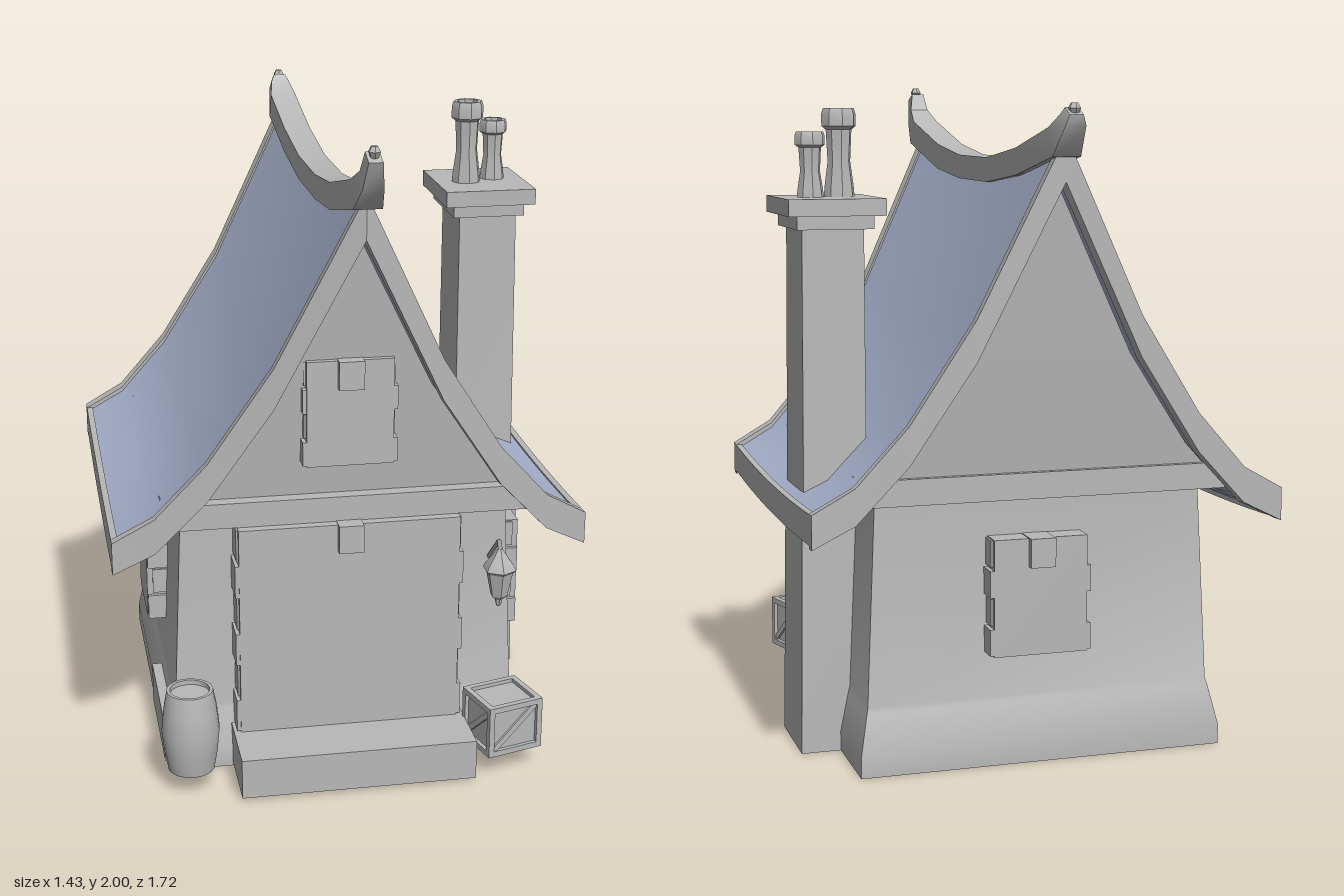
import * as THREE from 'three';
import { toCreasedNormals } from 'three/addons/utils/BufferGeometryUtils.js';

const stone = new THREE.MeshStandardMaterial({ color: 0xb8b8b8, side: THREE.DoubleSide });
stone.name = 'grey stone';
const slate = new THREE.MeshStandardMaterial({ color: 0xa9b3cf, side: THREE.DoubleSide });
slate.name = 'blue slate';

export function createModel() {
  const model = new THREE.Group();
  model.name = 'cottage';

  const add = (name, geo, mat = stone, parent = model) => {
    const mesh = new THREE.Mesh(geo, mat);
    mesh.name = name;
    parent.add(mesh);
    return mesh;
  };
  // Box given by its min and max corners
  const box = (name, [x0, y0, z0], [x1, y1, z1], parent = model) => {
    const g = new THREE.BoxGeometry(x1 - x0, y1 - y0, z1 - z0);
    g.translate((x0 + x1) / 2, (y0 + y1) / 2, (z0 + z1) / 2);
    return add(name, g, stone, parent);
  };
  // Grid surface from rows of points
  const surface = (rows, closed = false, caps = false) => {
    const n = rows[0].length, index = [];
    for (let r = 0; r < rows.length - 1; r++)
      for (let c = 0; c < (closed ? n : n - 1); c++) {
        const a = r * n + c, b = r * n + (c + 1) % n;
        index.push(a, b, b + n, a, b + n, a + n);
      }
    if (caps) {
      const e = (rows.length - 1) * n;
      for (let c = 1; c < n - 1; c++) index.push(0, c + 1, c, e, e + c, e + c + 1);
    }
    const g = new THREE.BufferGeometry();
    g.setAttribute('position', new THREE.Float32BufferAttribute(rows.flat(2), 3));
    g.setIndex(index);
    return toCreasedNormals(g, 0.5);
  };
  const loft = (rings, caps = true) => surface(rings, true, caps);
  const lathe = (pts, sides) => toCreasedNormals(
    new THREE.LatheGeometry(pts.map(p => new THREE.Vector2(...p)), sides), 0.5);

  // Walls with a flared plinth, open underneath
  const ring = (x, y, zf, zb) => [[-x, y, zf], [x, y, zf], [x, y, zb], [-x, y, zb]];
  add('walls', loft([ring(0.56, 0, 0.5, -0.61), ring(0.56, 0.06, 0.5, -0.61),
    ring(0.535, 0.18, 0.46, -0.58), ring(0.53, 0.2, 0.455, -0.572),
    ring(0.5, 0.84, 0.44, -0.555)], false));

  // Roof shape: curved slope, splayed gable ends and a sagging ridge
  const slope = [[0, 1.85], [0.247, 1.34], [0.437, 1.045], [0.59, 0.875], [0.715, 0.805]];
  const roofPoint = (i, v, drop, dx = 0) => {
    const [x, y] = slope[i], h = y - 0.8;
    const z = THREE.MathUtils.lerp(-0.695 - 0.075 * h, 0.58 + 0.16 * h, v);
    const sag = (0.08 - 0.015 * i) * (1 - (2 * v - 1) ** 2);
    return [x + dx, y - sag - drop, z];
  };
  const steps = Array.from({ length: 13 }, (_, k) => k / 12);
  const idx = slope.map((_, i) => i);
  for (const side of [1, -1]) {
    const half = new THREE.Group();
    half.name = side > 0 ? 'leftRoof' : 'rightRoof';
    half.scale.x = side;
    model.add(half);
    for (const [name, drop] of [['roofSlates', 0.015], ['roofUnderside', 0.085]])
      add(name, surface(steps.map(v => idx.map(i => roofPoint(i, v, drop)))), slate, half);
    for (const [name, v0, v1] of [['backBargeboard', 0, 0.03], ['frontBargeboard', 0.97, 1]])
      add(name, loft(idx.map(i => {
        const d = 0.1 + 0.0075 * (4 - i);
        return [roofPoint(i, v0, 0), roofPoint(i, v0, d), roofPoint(i, v1, d), roofPoint(i, v1, 0)];
      })), stone, half);
    add('eavesBoard', loft(steps.map(v => [roofPoint(4, v, 0, -0.02), roofPoint(4, v, 0),
      roofPoint(4, v, 0.09), roofPoint(4, v, 0.09, -0.02)])), stone, half);
  }

  // Ridge beam with upturned ends: z, top y, z, bottom y, half width
  const ridge = [
    [0.815, 1.98, 0.868, 1.96, 0.02], [0.795, 1.925, 0.835, 1.88, 0.03],
    [0.715, 1.885, 0.76, 1.81, 0.042], [0.4, 1.81, 0.41, 1.73, 0.042],
    [0.15, 1.78, 0.15, 1.705, 0.042], [-0.15, 1.777, -0.15, 1.702, 0.042],
    [-0.44, 1.81, -0.44, 1.73, 0.042], [-0.735, 1.87, -0.775, 1.79, 0.042],
    [-0.8, 1.905, -0.85, 1.875, 0.03], [-0.815, 1.925, -0.857, 1.905, 0.02]];
  add('ridgeBeam', loft(ridge.map(([zt, yt, zb, yb, w]) =>
    [[-w, yt, zt], [w, yt, zt], [w, yb, zb], [-w, yb, zb]])));
  for (const [y, z] of [[1.98, 0.843], [1.918, -0.837]]) {
    const knob = add('ridgeFinial', lathe([[0, -0.02], [0.012, -0.01], [0.018, 0.005], [0.01, 0.02], [0, 0.02]], 6));
    knob.position.set(0, y, z);
  }

  // Gable walls lean outward above a tie beam
  for (const dir of [1, -1]) {
    const s = new THREE.Shape();
    const pts = [[0.56, 0.8], [0.54, 0.83], [0.437, 0.94], [0.247, 1.22], [0, 1.72]];
    pts.forEach(([x, y], k) => k ? s.lineTo(x, y) : s.moveTo(x, y));
    pts.slice(0, -1).reverse().forEach(([x, y]) => s.lineTo(-x, y));
    const g = new THREE.ExtrudeGeometry(s, { depth: 0.04, bevelEnabled: false });
    const p = g.attributes.position;
    for (let i = 0; i < p.count; i++)
      p.setZ(i, p.getZ(i) + (dir > 0 ? 0.42 : -0.6) + dir * 0.1 * (p.getY(i) - 0.8));
    g.computeVertexNormals();
    add(dir > 0 ? 'frontGable' : 'backGable', g);
    box('tieBeam', [-0.56, 0.8, dir > 0 ? 0.41 : -0.625], [0.56, 0.878, dir > 0 ? 0.51 : -0.53]);
  }

  // Opening with staggered side stones and a keystone, facing +z locally
  const opening = (name, w, h, d, rows, pos, turn = 0) => {
    const g = new THREE.Group();
    g.name = name;
    g.position.set(...pos);
    g.rotation.y = turn;
    model.add(g);
    box(name + 'Panel', [-w / 2 + 0.012, 0, -0.05], [w / 2 - 0.012, h, d], g);
    for (const s of [-1, 1])
      for (let r = 0; r < rows; r++) {
        const stoneBox = box('sideStone', [-0.02, 0.004, -0.05],
          [0.02, h / rows - 0.004, d - (r % 2 ? 0.018 : 0.002)], g);
        stoneBox.position.set(s * (w / 2 - 0.02 - (r % 2 ? 0.006 : 0)), r * h / rows, 0);
      }
    box('keystone', [-0.038, h - 0.085, 0], [0.038, h + 0.002, d + 0.022], g);
  };
  opening('door', 0.7, 0.665, 0.09, 6, [0, 0.135, 0.45]);
  opening('gableWindow', 0.285, 0.325, 0.045, 4, [0, 0.985, 0.485]);
  opening('leftWindow', 0.31, 0.35, 0.07, 4, [0.51, 0.335, 0.175], Math.PI / 2);
  opening('rightWindow', 0.31, 0.35, 0.07, 4, [-0.51, 0.335, -0.04], -Math.PI / 2);
  opening('backWindow', 0.31, 0.35, 0.07, 4, [0.02, 0.335, -0.562], Math.PI);

  // Steps
  box('frontStep', [-0.36, 0.01, 0.44], [0.36, 0.135, 0.72]);
  box('sideStep', [-0.57, 0.03, 0.08], [-0.5, 0.16, 0.49]);

  // Chimney stack, stepped cap and two pots
  const stack = (y, x0, x1, z0, z1) => [[x0, y, z1], [x1, y, z1], [x1, y, z0], [x0, y, z0]];
  add('chimneyStack', loft([stack(0, 0.45, 0.68, -0.34, -0.065), stack(0.72, 0.45, 0.668, -0.335, -0.075),
    stack(0.8, 0.47, 0.662, -0.33, -0.08), stack(1.6, 0.47, 0.655, -0.325, -0.09)]));
  box('chimneyLowerCap', [0.445, 1.575, -0.355], [0.675, 1.615, -0.065]);
  box('chimneyUpperCap', [0.415, 1.615, -0.385], [0.705, 1.665, -0.04]);
  const pot = (x, z, r, h) => add('chimneyPot', lathe([[r * 0.9, 0], [r * 0.85, h * 0.12], [r * 0.66, h * 0.4],
    [r * 0.75, h * 0.76], [r, h * 0.8], [r, h * 0.94], [r * 0.9, h], [r * 0.66, h],
    [r * 0.62, h * 0.8], [0, h * 0.8]], 8)).position.set(x, 1.665, z);
  pot(0.515, -0.2, 0.052, 0.26);
  pot(0.61, -0.235, 0.045, 0.192);

  // Hanging lantern on a bent bracket
  add('lantern', lathe([[0, 0.51], [0.008, 0.515], [0.012, 0.535], [0.026, 0.548], [0.042, 0.625],
    [0.052, 0.635], [0.045, 0.65], [0.018, 0.685], [0.008, 0.7], [0, 0.7]], 6)).position.set(0.455, 0, 0.57);
  const bend = new THREE.CatmullRomCurve3([[0.57, 0.69], [0.56, 0.72], [0.52, 0.69], [0.44, 0.62]]
    .map(([z, y]) => new THREE.Vector3(0.455, y, z)));
  add('lanternBracket', new THREE.TubeGeometry(bend, 10, 0.007, 6));

  // Barrel with a sunken lid
  add('barrel', lathe([[0, 0.07], [0.07, 0.07], [0.081, 0.13], [0.088, 0.2], [0.081, 0.27],
    [0.07, 0.33], [0.06, 0.33], [0.06, 0.315], [0, 0.315]], 20)).position.set(-0.5, 0, 0.607);

  // Crate: inset core, corner posts, rails and diagonal braces
  const crate = new THREE.Group();
  crate.name = 'crate';
  crate.position.set(0.467, 0.152, 0.608);
  crate.rotation.y = 0.27;
  model.add(crate);
  const [cx, cy, cz, t] = [0.0925, 0.0825, 0.085, 0.018];
  box('crateCore', [-cx + 0.012, -cy + 0.012, -cz + 0.012], [cx - 0.012, cy - 0.012, cz - 0.012], crate);
  const bar = (c, l) => box('crateBar', c.map((v, k) => v - l[k] / 2), c.map((v, k) => v + l[k] / 2), crate);
  for (const a of [-1, 1])
    for (const b of [-1, 1]) {
      bar([0, a * (cy - t / 2), b * (cz - t / 2)], [2 * cx, t, t]);
      bar([a * (cx - t / 2), 0, b * (cz - t / 2)], [t, 2 * cy, t]);
      bar([a * (cx - t / 2), b * (cy - t / 2), 0], [t, t, 2 * cz]);
    }
  for (let k = 0; k < 4; k++) {
    const brace = add('crateBrace', new THREE.BoxGeometry(0.2, t, 0.008), stone, crate);
    const along = k % 2 ? cx : cz;
    brace.rotation.set(0, k * Math.PI / 2, 0.73, 'YXZ');
    brace.position.set(0, 0, along - 0.009).applyAxisAngle(new THREE.Vector3(0, 1, 0), k * Math.PI / 2);
  }
  return model;
}
